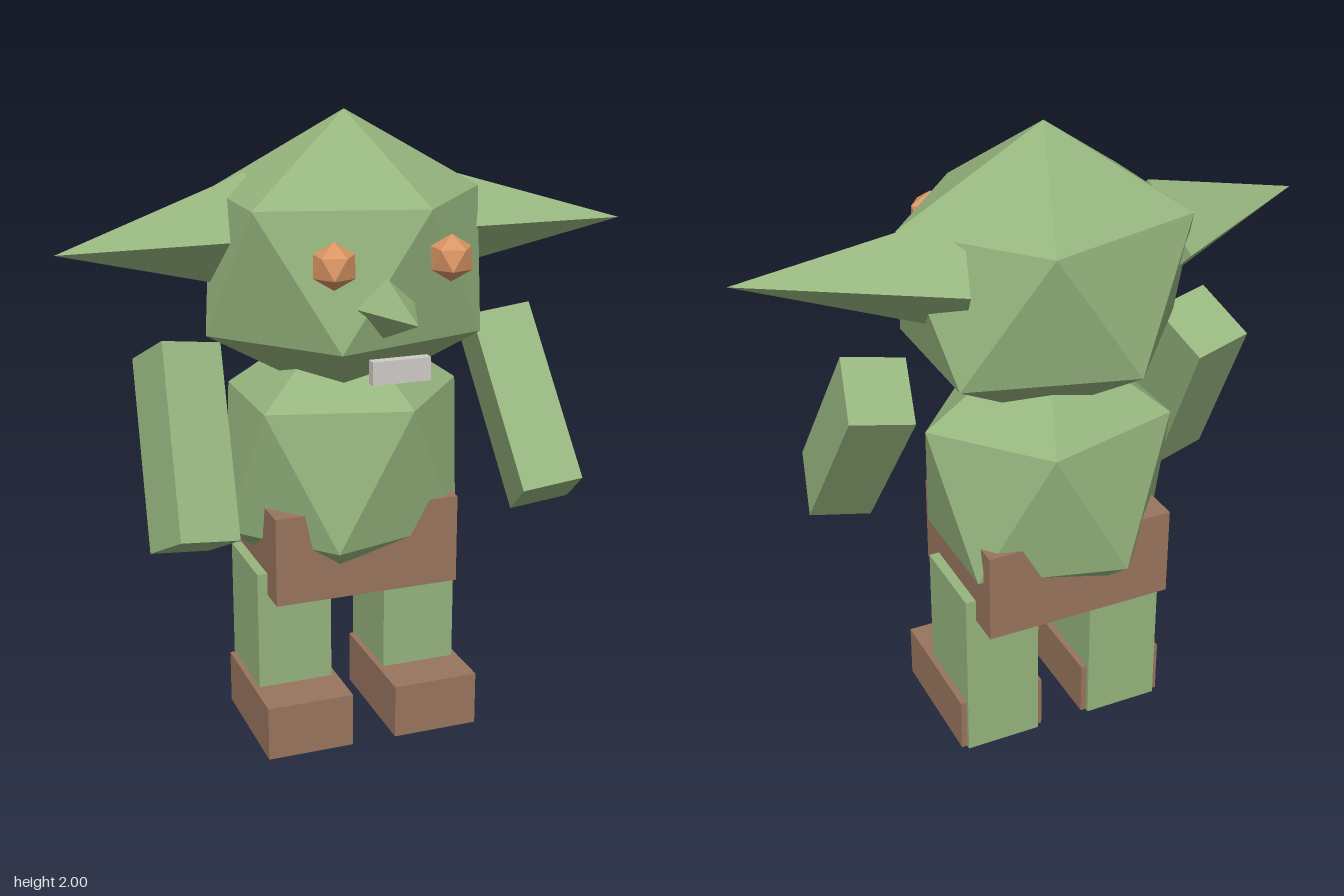
import * as THREE from 'three';
import { ConvexGeometry } from 'three/addons/geometries/ConvexGeometry.js';

const material = (name, color) => {
  const m = new THREE.MeshStandardMaterial({ color, flatShading: true });
  m.name = name;
  return m;
};

// Icosahedron standing on a point, with separate radii per axis
function icosahedron(rx, ry, rz) {
  const h = Math.sqrt(0.2), w = 2 * h;
  const points = [new THREE.Vector3(0, ry, 0), new THREE.Vector3(0, -ry, 0)];
  for (let i = 0; i < 5; i++) {
    const a = (i * 2 * Math.PI) / 5;
    const x = Math.cos(a) * w * rx, z = Math.sin(a) * w * rz;
    points.push(new THREE.Vector3(x, h * ry, z), new THREE.Vector3(-x, -h * ry, z));
  }
  return new ConvexGeometry(points);
}

export function createModel() {
  const model = new THREE.Group();
  model.name = 'creature';
  const skin = material('green skin', 0x96b57e);
  const leather = material('brown leather', 0x99755e);
  const amber = material('amber eyes', 0xda9664);
  const ivory = material('pale teeth', 0xd0ccc8);

  const add = (name, geometry, mat, x, y, z) => {
    const mesh = new THREE.Mesh(geometry, mat);
    mesh.name = name;
    mesh.position.set(x, y, z);
    model.add(mesh);
    return mesh;
  };
  // Box given by its lowest and highest corners
  const addBox = (name, mat, [x0, y0, z0], [x1, y1, z1]) =>
    add(name, new THREE.BoxGeometry(x1 - x0, y1 - y0, z1 - z0), mat,
      (x0 + x1) / 2, (y0 + y1) / 2, (z0 + z1) / 2);

  // Head and torso
  add('head', icosahedron(0.503, 0.461, 0.435), skin, 0, 1.539, -0.12);
  add('torso', icosahedron(0.442, 0.49, 0.377), skin, 0, 0.895, -0.15);

  // Face
  const nose = new THREE.ConeGeometry(0.105, 0.285, 4).rotateX(Math.PI / 2);
  add('nose', nose, skin, 0, 1.465, 0.343);
  addBox('teeth', ivory, [-0.09, 1.27, 0.335], [0.09, 1.34, 0.367]);

  // Shorts
  addBox('shorts', leather, [-0.305, 0.5, -0.4], [0.305, 0.79, 0.097]);

  for (const s of [1, -1]) {
    const side = s > 0 ? 'left' : 'right';
    add(side + 'Eye', icosahedron(0.07, 0.07, 0.07), amber, s * 0.18, 1.61, 0.295);

    // Ear: four-sided spike, swept slightly forward
    const ear = new THREE.ConeGeometry(0.18, 0.645, 4).rotateZ(-s * Math.PI / 2);
    ear.rotateY(-s * 0.283);
    add(side + 'Ear', ear, skin, s * 0.6, 1.63, -0.12);

    // Leg and shoe
    addBox(side + 'Leg', skin, [s * 0.215 - 0.123, 0, -0.293], [s * 0.215 + 0.123, 0.573, 0]);
    addBox(side + 'Shoe', leather, [s * 0.215 - 0.142, 0.002, -0.28], [s * 0.215 + 0.142, 0.18, 0.155]);
  }

  // Arms: centre, sideways axis and upward axis of each box
  const arms = [
    ['leftArm', [0.555, 1.045, 0.015], [0.19, 0.03, 0.025], [-0.045, 0.49, -0.355]],
    ['rightArm', [-0.553, 1.02, -0.008], [0.19, -0.03, -0.035], [0.03, 0.535, -0.285]],
  ];
  for (const [name, centre, across, up] of arms) {
    const x = new THREE.Vector3(...across).normalize();
    const z = new THREE.Vector3().crossVectors(x, new THREE.Vector3(...up)).normalize();
    const y = new THREE.Vector3().crossVectors(z, x);
    const arm = add(name, new THREE.BoxGeometry(0.195, 0.607, 0.22), skin, ...centre);
    arm.setRotationFromMatrix(new THREE.Matrix4().makeBasis(x, y, z));
  }
  return model;
}
